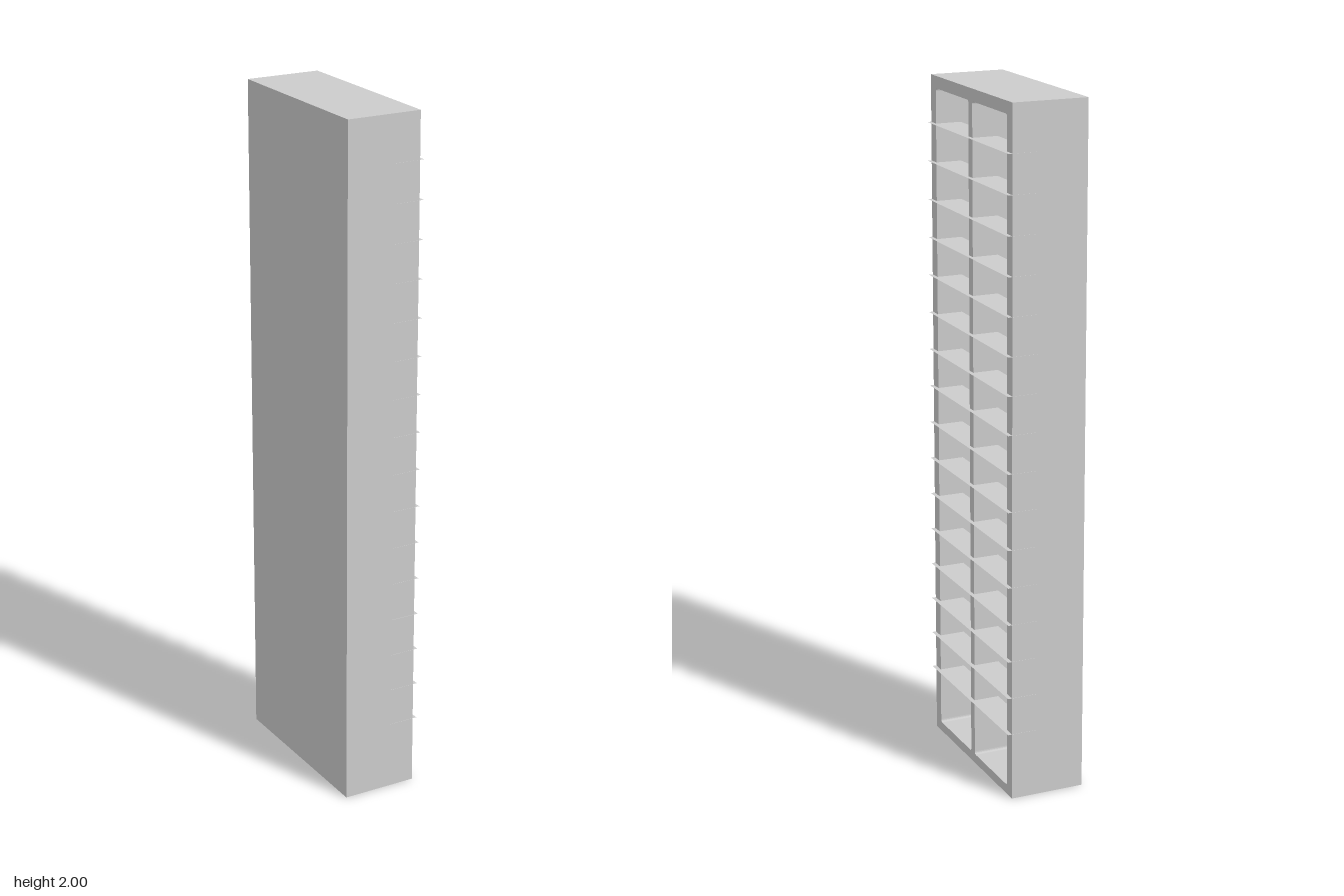
import * as THREE from 'three';

const HEIGHT = 2, HALF_WIDTH = 0.278;
const BACK_X = -0.118, BAY_X = 0, FRONT_X = 0.104;

// Rectangle with small corner radius, traced as a path
function roundedRect(path, x0, y0, x1, y1, r) {
  path.moveTo(x0 + r, y0);
  path.lineTo(x1 - r, y0);
  path.quadraticCurveTo(x1, y0, x1, y0 + r);
  path.lineTo(x1, y1 - r);
  path.quadraticCurveTo(x1, y1, x1 - r, y1);
  path.lineTo(x0 + r, y1);
  path.quadraticCurveTo(x0, y1, x0, y1 - r);
  path.lineTo(x0, y0 + r);
  path.quadraticCurveTo(x0, y0, x0 + r, y0);
  return path;
}

export function createModel() {
  const group = new THREE.Group();
  group.name = 'shelfCabinet';
  const grey = new THREE.MeshStandardMaterial({ color: 0xcccccc });
  const thin = new THREE.MeshStandardMaterial({ color: 0xcccccc, side: THREE.DoubleSide });

  const add = (name, geometry, material, x = 0, y = 0, z = 0) => {
    const mesh = new THREE.Mesh(geometry, material);
    mesh.name = name;
    mesh.position.set(x, y, z);
    group.add(mesh);
    return mesh;
  };

  // Solid rear body behind the two bays
  add('rearBody', new THREE.BoxGeometry(BAY_X - BACK_X, HEIGHT, 2 * HALF_WIDTH), grey,
    (BACK_X + BAY_X) / 2, HEIGHT / 2, 0);

  // Open frame with two tall bays and a thin divider, facing +x
  const outline = new THREE.Shape([
    new THREE.Vector2(-HALF_WIDTH, 0), new THREE.Vector2(HALF_WIDTH, 0),
    new THREE.Vector2(HALF_WIDTH, HEIGHT), new THREE.Vector2(-HALF_WIDTH, HEIGHT),
  ]);
  outline.holes.push(roundedRect(new THREE.Path(), -0.243, 0.028, -0.013, 1.965, 0.008));
  outline.holes.push(roundedRect(new THREE.Path(), 0.013, 0.028, 0.243, 1.965, 0.008));
  const frame = new THREE.ExtrudeGeometry(outline, {
    depth: FRONT_X - BAY_X, bevelEnabled: false, curveSegments: 4,
  });
  frame.rotateY(Math.PI / 2);
  add('bayFrame', frame, grey, BAY_X, 0, 0);

  // Half-round upright rail on the back wall of each bay
  for (const side of [1, -1]) {
    add(side > 0 ? 'leftRail' : 'rightRail',
      new THREE.CylinderGeometry(0.027, 0.027, 1.925, 24, 1, false, 0, Math.PI), grey,
      BAY_X, 1.0025, side * 0.109);
  }

  // Sheet-thin shelves, protruding slightly at the front and sides
  const shelf = new THREE.PlaneGeometry(0.088, 0.558);
  shelf.rotateX(-Math.PI / 2);
  for (let i = 0; i < 16; i++) {
    add('shelf' + (i + 1), shelf, thin, 0.072, 0.2 + i * 0.111, 0);
  }

  return group;
}
